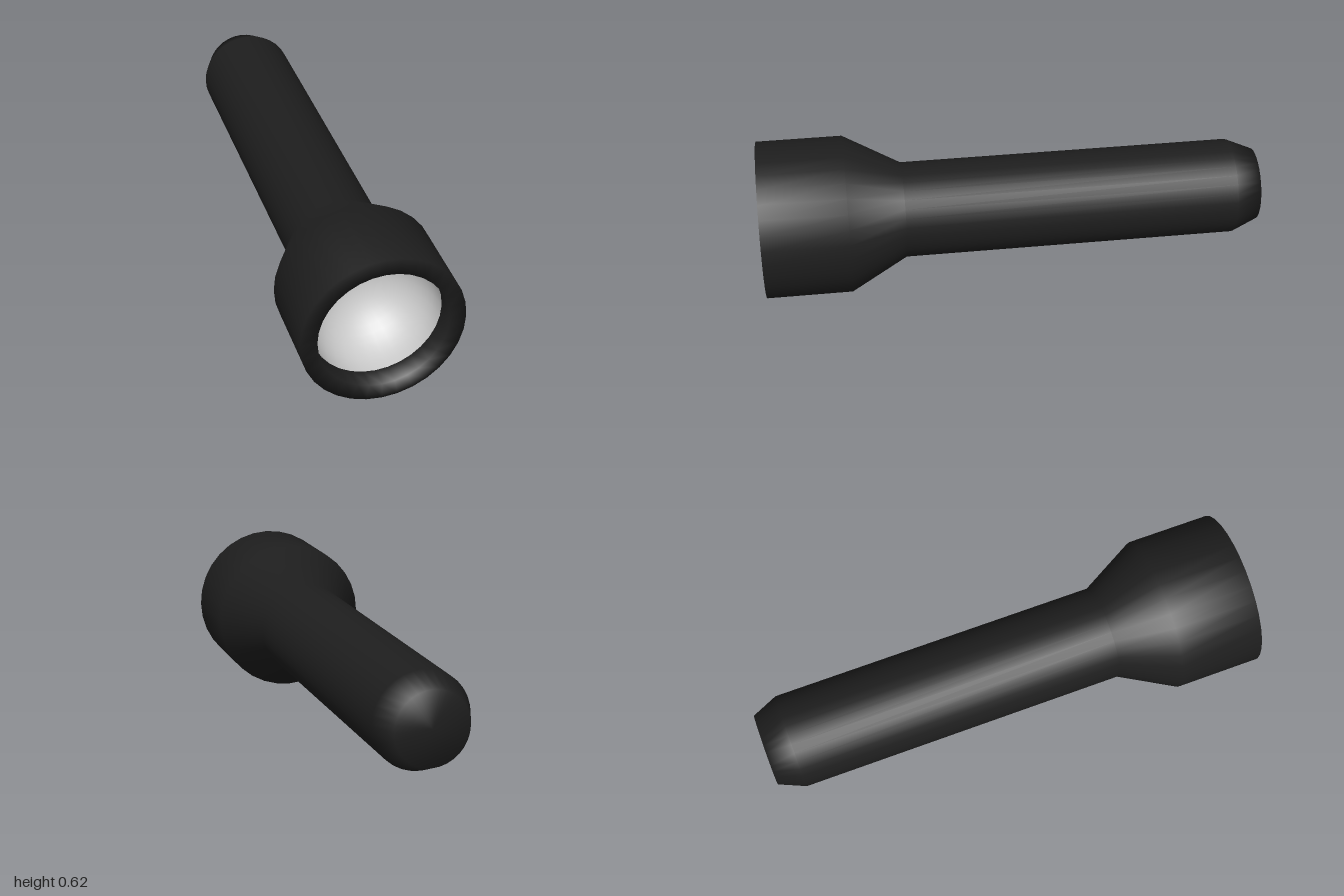
import * as THREE from 'three';

const SIDES = 32;
const HEAD_R = 0.3125, GRIP_R = 0.19, TAIL_R = 0.145, LENS_R = 0.248;
const LENS_Z = 0.92;

// Revolve [radius, z] points around the z axis, lifted so the head rests on the ground
function revolve(name, profile, color) {
  const points = profile.map(([r, z]) => new THREE.Vector2(r, z));
  const geometry = new THREE.LatheGeometry(points, SIDES);
  geometry.rotateX(Math.PI / 2);
  const mesh = new THREE.Mesh(geometry, new THREE.MeshStandardMaterial({ color }));
  mesh.name = name;
  mesh.position.y = HEAD_R;
  return mesh;
}

export function createModel() {
  const group = new THREE.Group();
  group.name = 'flashlight';

  // Casing: tail cap, grip, flared head, front rim and the short wall inside it
  group.add(revolve('casing', [
    [0, -1],
    [TAIL_R, -1],
    [GRIP_R, -0.895],
    [GRIP_R, 0.435],
    [HEAD_R, 0.66],
    [HEAD_R, 1],
    [LENS_R, 1],
    [LENS_R, LENS_Z],
  ], 0x1e1e1e));

  // Reflector: concave bowl sunk behind the rim
  const bowl = [];
  const steps = 12, depth = 0.24;
  for (let i = 0; i <= steps; i++) {
    const a = (i / steps) * Math.PI / 2;
    bowl.push([i === steps ? 0 : LENS_R * Math.cos(a), LENS_Z - depth * Math.sin(a)]);
  }
  group.add(revolve('reflector', bowl, 0xcccccc));

  return group;
}
